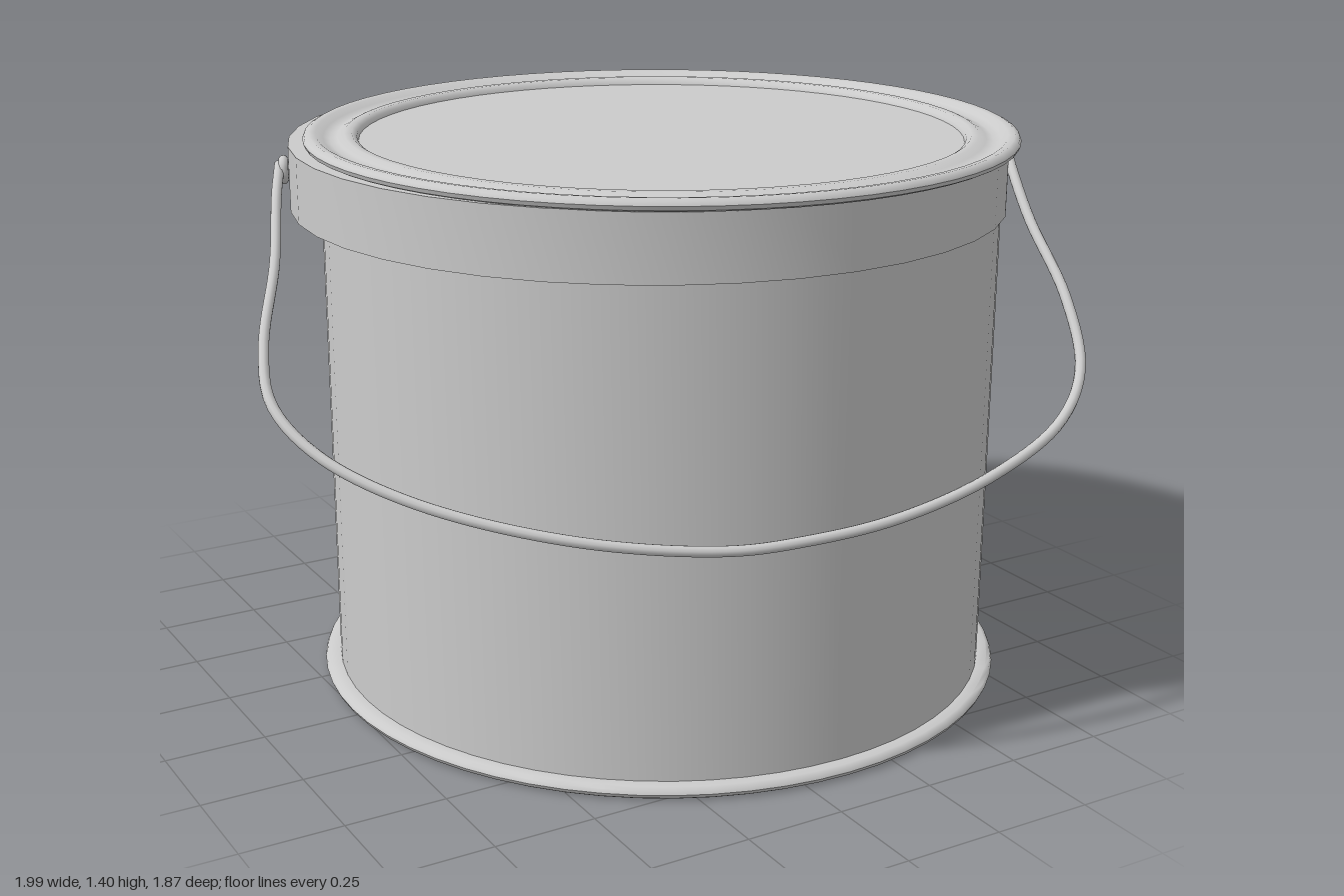
import * as THREE from 'three';
import { toCreasedNormals } from 'three/addons/utils/BufferGeometryUtils.js';

const material = new THREE.MeshStandardMaterial({ color: 0xcccccc, side: THREE.DoubleSide });

function addMesh(parent, name, geometry) {
  const mesh = new THREE.Mesh(geometry, material);
  mesh.name = name;
  parent.add(mesh);
  return mesh;
}

// Turned part from [radius, height] pairs, with sharp edges kept.
function turned(profile, sides) {
  const points = profile.map(([r, y]) => new THREE.Vector2(r, y));
  return toCreasedNormals(new THREE.LatheGeometry(points, sides), 0.7);
}

function tubeThrough(points, segments, radius) {
  const curve = new THREE.CatmullRomCurve3(points.map((p) => new THREE.Vector3(...p)));
  return new THREE.TubeGeometry(curve, segments, radius, 10);
}

export function createModel() {
  const bucket = new THREE.Group();
  bucket.name = 'bucket';

  const can = new THREE.Group();
  can.name = 'can';
  can.position.set(0.115, 0, -0.005);
  bucket.add(can);

  // Wall, floor and the rolled foot rim
  addMesh(can, 'body', turned([[0.842, 0.025], [0.842, 1.375]], 64));
  addMesh(can, 'bottomRim', turned([
    [0, 0], [0.868, 0], [0.878, 0.006], [0.882, 0.015], [0.878, 0.024], [0.868, 0.03], [0.842, 0.03],
  ], 64));

  // Lid: rolled rim, shallow groove, inner bead and flat centre panel
  addMesh(can, 'lid', turned([
    [0.84, 1.372], [0.868, 1.372], [0.878, 1.377], [0.882, 1.387], [0.878, 1.396], [0.866, 1.402],
    [0.85, 1.4], [0.832, 1.39], [0.815, 1.384], [0.798, 1.388], [0.78, 1.396], [0.762, 1.396],
    [0.75, 1.388], [0.746, 1.378], [0, 1.378],
  ], 64));

  // Collar, set slightly towards the back
  const band = addMesh(bucket, 'collar', turned([
    [0.8, 1.212], [0.892, 1.212], [0.892, 1.373], [0.8, 1.373],
  ], 40));
  band.position.set(0.102, 0, -0.045);

  // Swung-down wire handle
  const handle = new THREE.Group();
  handle.name = 'handle';
  bucket.add(handle);
  addMesh(handle, 'wire', tubeThrough([
    [0.945, 1.325, 0.32], [0.915, 1.27, 0.39], [0.885, 1.17, 0.5], [0.855, 1.02, 0.68],
    [0.8, 0.88, 0.81], [0.68, 0.785, 0.885], [0.45, 0.7, 0.92], [0.2, 0.64, 0.905],
    [-0.02, 0.615, 0.865], [-0.2, 0.607, 0.81], [-0.5, 0.635, 0.65], [-0.78, 0.705, 0.425],
    [-0.93, 0.79, 0.25], [-0.982, 0.88, 0.12], [-0.95, 0.98, 0], [-0.85, 1.13, -0.17],
    [-0.785, 1.26, -0.31], [-0.745, 1.32, -0.385],
  ], 120, 0.013));

  // Wire eyelets and the pins holding them to the collar
  for (const [side, x, z] of [['left', 0.935, 0.325], ['right', -0.735, -0.385]]) {
    const pivot = new THREE.Group();
    pivot.name = side + 'Pivot';
    pivot.position.set(x, 1.305, z);
    pivot.rotation.y = Math.atan2(x - 0.102, z + 0.045);
    handle.add(pivot);
    addMesh(pivot, 'eyelet', new THREE.TorusGeometry(0.024, 0.012, 10, 20));
    const pin = addMesh(pivot, 'pin', new THREE.CylinderGeometry(0.014, 0.014, 0.06, 12));
    pin.rotation.x = Math.PI / 2;
    pin.position.z = -0.02;
  }

  return bucket;
}
